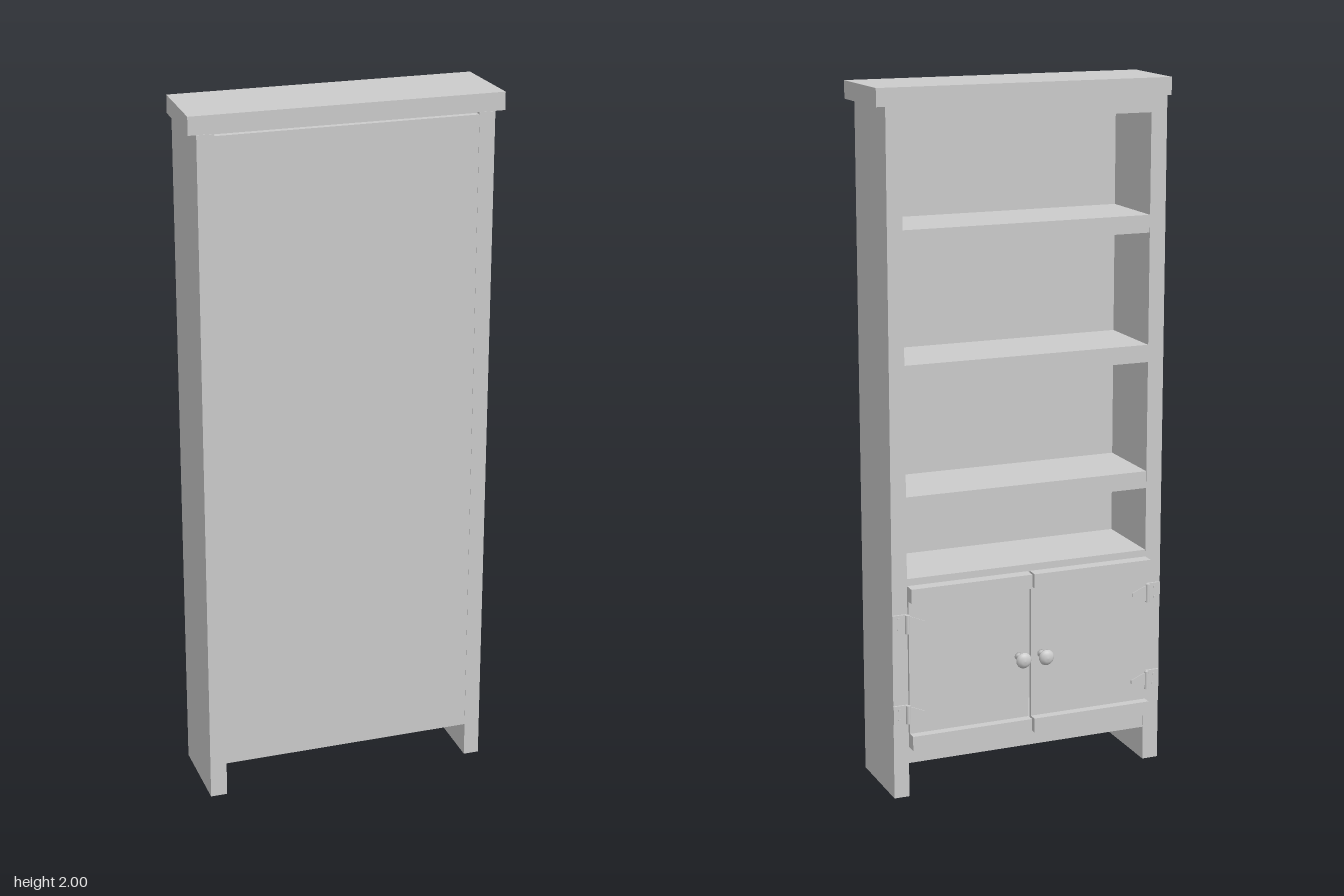
import * as THREE from 'three';

export function createModel() {
  const model = new THREE.Group();
  model.name = 'bookcase';
  const material = new THREE.MeshStandardMaterial({ color: 0xcccccc, flatShading: true });
  const smooth = new THREE.MeshStandardMaterial({ color: 0xcccccc });

  const add = (name, geometry, mat = material, parent = model) => {
    const mesh = new THREE.Mesh(geometry, mat);
    mesh.name = name;
    parent.add(mesh);
    return mesh;
  };
  // Box given by its limits on each axis
  const box = (name, [x0, x1], [y0, y1], [z0, z1], parent = model) => {
    const g = new THREE.BoxGeometry(x1 - x0, y1 - y0, z1 - z0);
    g.translate((x0 + x1) / 2, (y0 + y1) / 2, (z0 + z1) / 2);
    return add(name, g, material, parent);
  };
  const outline = (points) => new THREE.Shape(points.map(([x, y]) => new THREE.Vector2(x, y)));

  const front = -0.097, back = 0.155; // the open side faces -z
  const inner = [-0.37, 0.363];

  // Carcass
  box('rightSide', [-0.418, inner[0]], [0, 1.95], [front, back]);
  box('leftSide', [inner[1], 0.408], [0, 1.95], [front, back]);
  box('backPanel', inner, [0.1, 1.944], [0.135, back - 0.001]);
  box('topBoard', inner, [1.905, 1.95], [front, 0.135]);

  // Slightly skewed cap
  const cap = new THREE.ExtrudeGeometry(
    outline([[-0.44, -0.153], [0.437, -0.153], [0.434, 0.099], [-0.43, 0.099]]),
    { depth: 0.05, bevelEnabled: false });
  cap.rotateX(-Math.PI / 2);
  cap.translate(0, 1.95, 0);
  add('cap', cap);

  // Shelves, by height of the upper face
  for (const top of [0.15, 0.645, 0.88, 1.25, 1.62]) {
    box('shelf', inner, [top - 0.05, top], [front + 0.001, 0.135]);
  }

  // Knob profile: radius, distance from the door
  const knobProfile = [[0, 0], [0.012, 0], [0.009, 0.006], [0.008, 0.026], [0.013, 0.031],
    [0.022, 0.038], [0.023, 0.042], [0.018, 0.049], [0.01, 0.053], [0, 0.054]]
    .map(([r, d]) => new THREE.Vector2(r, d));

  // Doors with battens, knob and two hinges each; s = -1 or 1
  for (const s of [-1, 1]) {
    const door = new THREE.Group();
    door.name = s > 0 ? 'leftDoor' : 'rightDoor';
    model.add(door);
    const hingeX = s > 0 ? inner[1] : inner[0];
    const meetX = s > 0 ? 0.0 : -0.007;
    const span = [Math.min(hingeX, meetX), Math.max(hingeX, meetX)];
    box('doorPanel', span, [0.15, 0.625], [-0.107, front], door);
    for (const y of [0.15, 0.583]) {
      box('doorBatten', span, [y, y + 0.042], [-0.133, -0.106], door);
    }

    const knob = add('knob', new THREE.LatheGeometry(knobProfile, 20), smooth, door);
    knob.rotation.x = -Math.PI / 2;
    knob.position.set(-0.003 + s * 0.035, 0.378, -0.106);

    for (const y of [0.25, 0.517]) {
      const hinge = new THREE.Group();
      hinge.name = 'hinge';
      hinge.position.set(hingeX, y, 0);
      door.add(hinge);
      // Plate on the side panel
      const plate = [0.004 * s, 0.046 * s].sort((a, b) => a - b);
      box('hingePlate', plate, [-0.027, 0.027], [-0.103, front], hinge);
      for (const dy of [-0.015, 0.015]) {
        const screw = add('screw', new THREE.CylinderGeometry(0.004, 0.004, 0.003, 10), smooth, hinge);
        screw.rotation.x = Math.PI / 2;
        screw.position.set(0.028 * s, dy, -0.104);
      }
      // Knuckle
      add('hingeKnuckle', new THREE.CylinderGeometry(0.007, 0.007, 0.054, 12), smooth, hinge)
        .position.set(0.004 * s, 0, -0.108);
      // Tapered strap on the door
      const strap = new THREE.ExtrudeGeometry(
        outline([[0, -0.024], [-0.018 * s, -0.017], [-0.046 * s, -0.005],
          [-0.046 * s, 0.005], [-0.018 * s, 0.017], [0, 0.024]]),
        { depth: 0.005, bevelEnabled: false });
      strap.translate(0, 0, -0.111);
      add('hingeStrap', strap, material, hinge);
    }
  }
  return model;
}
